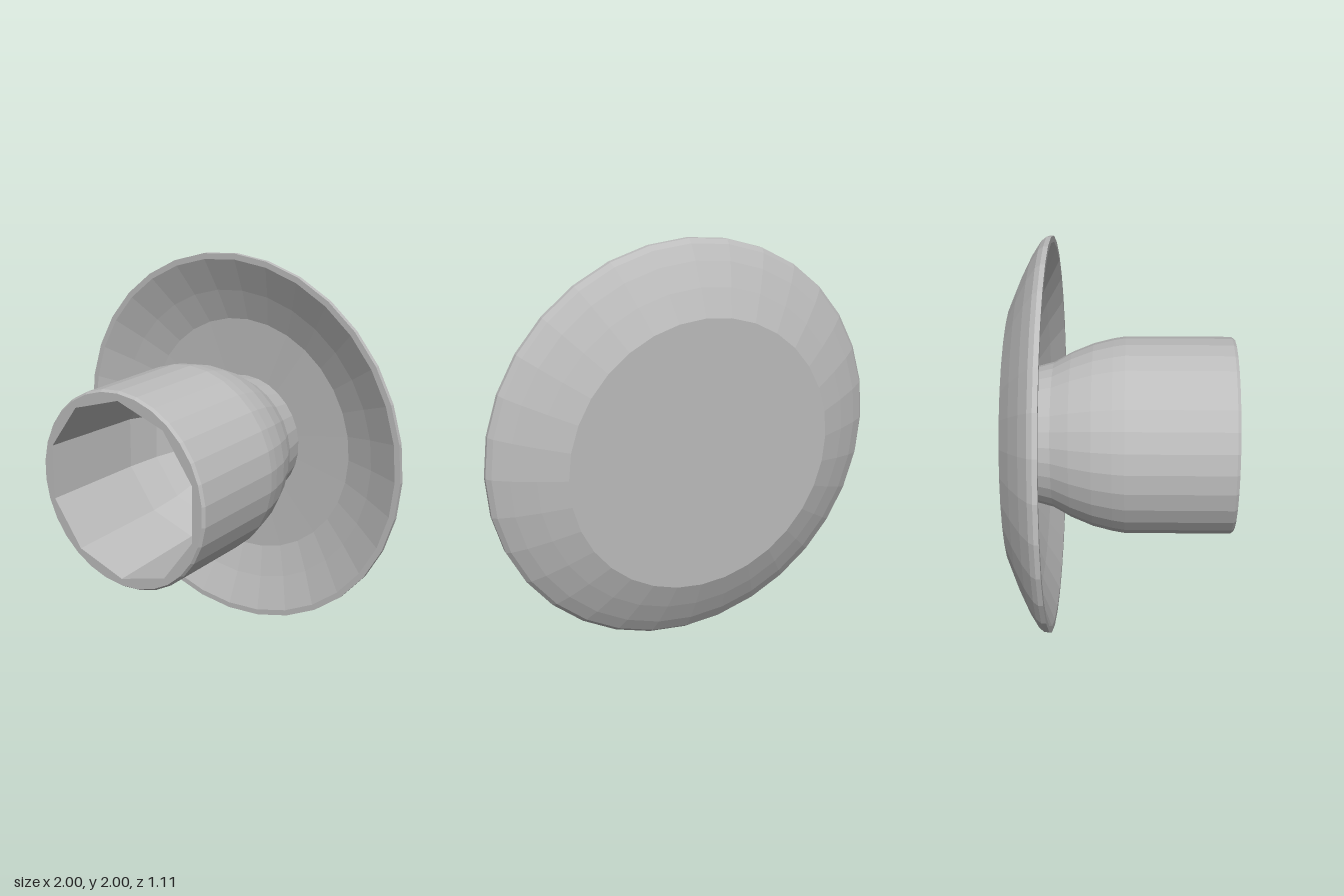
import * as THREE from 'three';

const grey = new THREE.MeshStandardMaterial({ color: 0xbcbcbc });
grey.name = 'plain grey';

// Faceted surface of revolution about the z axis; profile points are [radius, z]
function turned(name, profile, segments) {
  const points = profile.map(([r, z]) => new THREE.Vector2(r, z));
  const geometry = new THREE.LatheGeometry(points, segments).rotateX(Math.PI / 2).toNonIndexed();
  geometry.computeVertexNormals();
  const mesh = new THREE.Mesh(geometry, grey);
  mesh.name = name;
  return mesh;
}

// Points of a regular polygon with a corner at the bottom
function polygon(radius, sides) {
  return Array.from({ length: sides }, (_, i) => {
    const a = (i / sides) * Math.PI * 2 - Math.PI / 2;
    return new THREE.Vector2(radius * Math.cos(a), radius * Math.sin(a));
  });
}

export function createModel() {
  const model = new THREE.Group();
  const body = new THREE.Group();
  body.name = 'flangedCup';
  body.position.y = 1;
  model.add(body);

  // Shallow dish: flat back, curved flank, thin rim, hollow front
  body.add(turned('dish', [
    [0, -0.555], [0.67, -0.555], [0.8, -0.5], [0.91, -0.445], [0.98, -0.4], [1, -0.375],
    [1, -0.352], [0.97, -0.352], [0.8, -0.425], [0.64, -0.48], [0.3, -0.49],
  ], 32));

  // Outer cup wall with its rounded base running into the dish
  body.add(turned('cupWall', [
    [0.33, -0.5], [0.37, -0.35], [0.42, -0.26], [0.465, -0.15], [0.49, -0.05], [0.5, 0.01],
    [0.5, 0.54], [0.49, 0.555],
  ], 30));

  // Front lip between the round wall and the ten-sided bore
  const lipShape = new THREE.Shape(polygon(0.49, 30));
  lipShape.holes.push(new THREE.Path(polygon(0.455, 10)));
  const lip = new THREE.Mesh(new THREE.ShapeGeometry(lipShape), grey);
  lip.name = 'cupLip';
  lip.position.z = 0.555;
  body.add(lip);

  // Ten-sided bore, narrowing to a closed floor
  body.add(turned('cupBore', [
    [0.455, 0.555], [0.43, 0], [0.39, -0.17], [0.3, -0.3], [0.22, -0.35], [0, -0.35],
  ], 10));

  return model;
}
